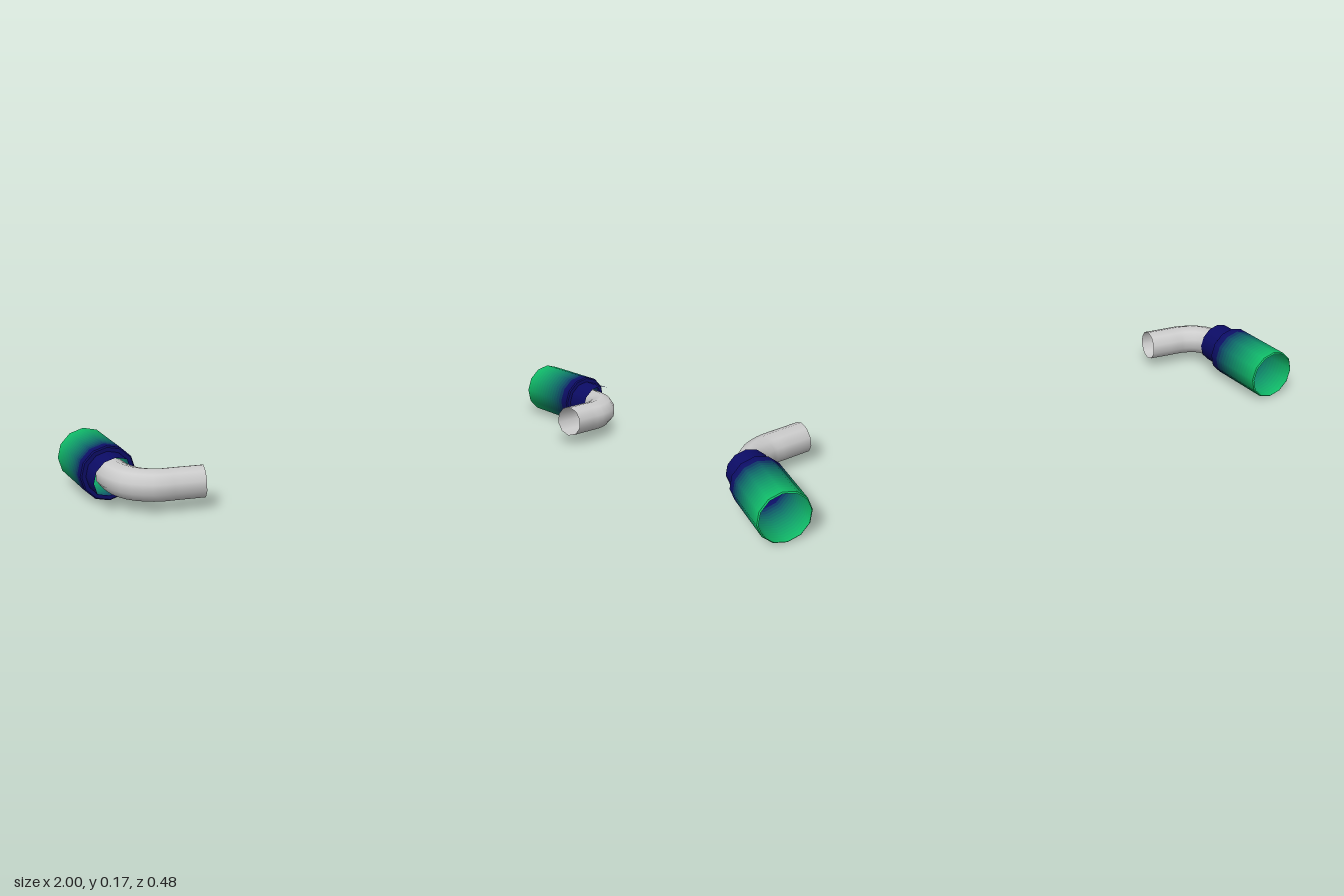
import * as THREE from 'three';

const SIDES = 12;
const AXIS_X = 0.9135, AXIS_Y = 0.0875;
const NAVY = new THREE.Color(0x0c0c66);
const GREEN = new THREE.Color(0x10c068);

function addMesh(group, name, geometry, color, side = THREE.DoubleSide) {
  const mesh = new THREE.Mesh(geometry, new THREE.MeshStandardMaterial({ color, side }));
  mesh.name = name;
  group.add(mesh);
  return mesh;
}

// Open ring along z, from z0 (radius r0) to z1 (radius r1)
function ring(r0, z0, r1, z1) {
  const profile = [new THREE.Vector2(r0, z0), new THREE.Vector2(r1, z1)];
  return new THREE.LatheGeometry(profile, SIDES).rotateX(Math.PI / 2);
}

// Hollow tip whose heat tint fades from navy at the front to green at the back
function createTip() {
  const tip = new THREE.Group();
  tip.name = 'exhaustTip';
  const r = 0.0865, back = -0.243, front = -0.003, bevel = 0.004, bands = 16;
  const start = back + bevel, end = front - bevel;
  for (let i = 0; i < bands; i++) {
    const z0 = THREE.MathUtils.lerp(start, end, i / bands);
    const z1 = THREE.MathUtils.lerp(start, end, (i + 1) / bands);
    const t = Math.min(1, (i + 0.5) / bands * 1.1);
    addMesh(tip, 'tintBand', ring(r, z0, r, z1), GREEN.clone().lerp(NAVY, t));
  }
  addMesh(tip, 'rearBevel', ring(r - bevel, back, r, start), GREEN);
  addMesh(tip, 'frontBevel', ring(r, end, r - bevel, front), NAVY);
  addMesh(tip, 'frontStep', ring(r - bevel, front, 0.07, front), NAVY);
  // Narrower collar that receives the pipe
  addMesh(tip, 'collar', ring(0.07, front, 0.07, 0.075), NAVY, THREE.FrontSide);
  return tip;
}

// Bent pipe running out of the collar and turning inward
function createPipe(sign) {
  const path = new THREE.CatmullRomCurve3([
    [0.906, 0.0875, 0.0], [0.903, 0.0875, 0.06], [0.88, 0.0865, 0.125],
    [0.825, 0.084, 0.165], [0.76, 0.083, 0.178], [0.685, 0.082, 0.191],
  ].map(([x, y, z]) => new THREE.Vector3(sign * x, y, z)));
  return new THREE.TubeGeometry(path, 14, 0.051, 10, false);
}

export function createModel() {
  const model = new THREE.Group();
  model.name = 'twinExhaust';
  for (const [name, sign] of [['left', 1], ['right', -1]]) {
    const side = new THREE.Group();
    side.name = `${name}Exhaust`;
    const tip = createTip();
    tip.position.set(sign * AXIS_X, AXIS_Y, 0);
    side.add(tip);
    addMesh(side, 'bentPipe', createPipe(sign), 0xcccccc);
    model.add(side);
  }
  return model;
}
